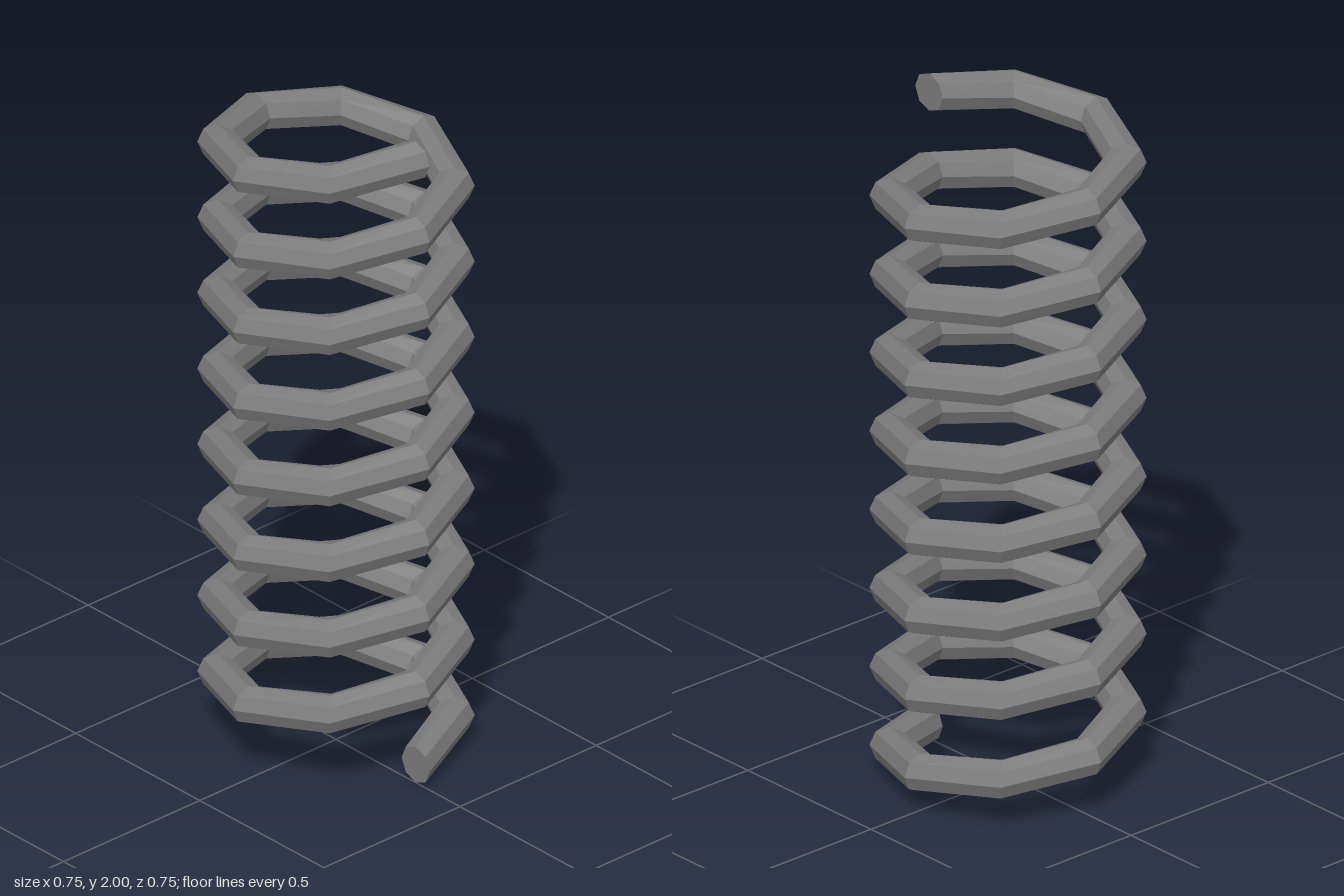
import * as THREE from 'three';

const TURNS = 8, STEPS = 8, SIDES = 8;
const COIL_R = 0.321, WIRE_R = 0.056, PITCH = (2 - 2 * WIRE_R) / TURNS;

// Sweep an octagonal section, held in the radial plane, along a stepped helix
function coilGeometry() {
  const rings = TURNS * STEPS;
  const positions = [], index = [];
  for (let i = 0; i <= rings; i++) {
    const a = (i / STEPS) * Math.PI * 2;
    const y = WIRE_R + (i / STEPS) * PITCH;
    for (let j = 0; j < SIDES; j++) {
      const b = (j / SIDES) * Math.PI * 2;
      const r = COIL_R + WIRE_R * Math.cos(b);
      positions.push(r * Math.cos(a), y + WIRE_R * Math.sin(b), -r * Math.sin(a));
    }
  }
  const at = (i, j) => i * SIDES + (j % SIDES);
  for (let i = 0; i < rings; i++) {
    for (let j = 0; j < SIDES; j++) {
      index.push(at(i, j), at(i + 1, j), at(i + 1, j + 1));
      index.push(at(i, j), at(i + 1, j + 1), at(i, j + 1));
    }
  }
  // Flat cut ends
  for (let j = 1; j < SIDES - 1; j++) {
    index.push(at(0, 0), at(0, j), at(0, j + 1));
    index.push(at(rings, 0), at(rings, j + 1), at(rings, j));
  }
  const geometry = new THREE.BufferGeometry();
  geometry.setAttribute('position', new THREE.Float32BufferAttribute(positions, 3));
  geometry.setIndex(index);
  const faceted = geometry.toNonIndexed();
  faceted.computeVertexNormals();
  return faceted;
}

export function createModel() {
  const group = new THREE.Group();
  group.name = 'coilSpring';
  // Dark steel grey
  const material = new THREE.MeshStandardMaterial({ color: 0x7a7a7a, flatShading: true });
  const coil = new THREE.Mesh(coilGeometry(), material);
  coil.name = 'coil';
  group.add(coil);
  return group;
}
